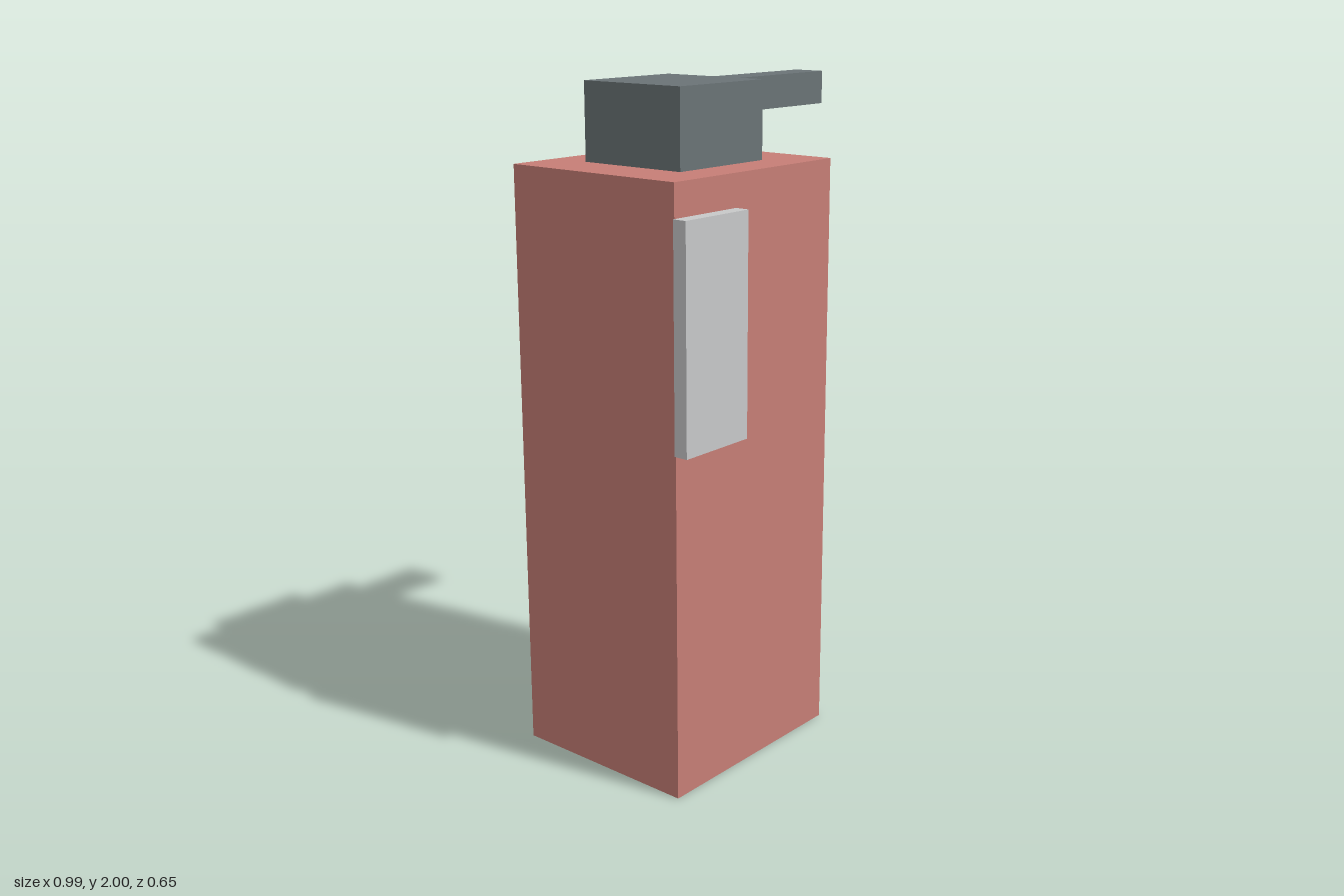
import * as THREE from 'three';

export function createModel() {
  const model = new THREE.Group();
  model.name = 'pumpBottle';

  const material = (name, color) => {
    const m = new THREE.MeshStandardMaterial({ color });
    m.name = name;
    return m;
  };
  const red = material('dustyRed', 0xc67e76);
  const grey = material('slateGrey', 0x6a7376);
  const silver = material('lightGrey', 0xc7c8c9);

  // Box spanning two opposite corners
  const block = (name, mat, [x0, y0, z0], [x1, y1, z1]) => {
    const mesh = new THREE.Mesh(new THREE.BoxGeometry(x1 - x0, y1 - y0, z1 - z0), mat);
    mesh.name = name;
    mesh.position.set((x0 + x1) / 2, (y0 + y1) / 2, (z0 + z1) / 2);
    model.add(mesh);
  };

  // Bottle body
  block('body', red, [-0.483, 0, -0.327], [0.201, 1.773, 0.273]);
  // Pump head and its spout
  block('pumpHead', grey, [-0.319, 1.773, -0.205], [0.037, 2, 0.151]);
  block('spout', grey, [0.037, 1.897, -0.077], [0.495, 1.995, 0.023]);
  // Plate floating just in front of the body
  block('labelPlate', silver, [-0.498, 1.038, 0.282], [-0.241, 1.68, 0.325]);

  return model;
}
